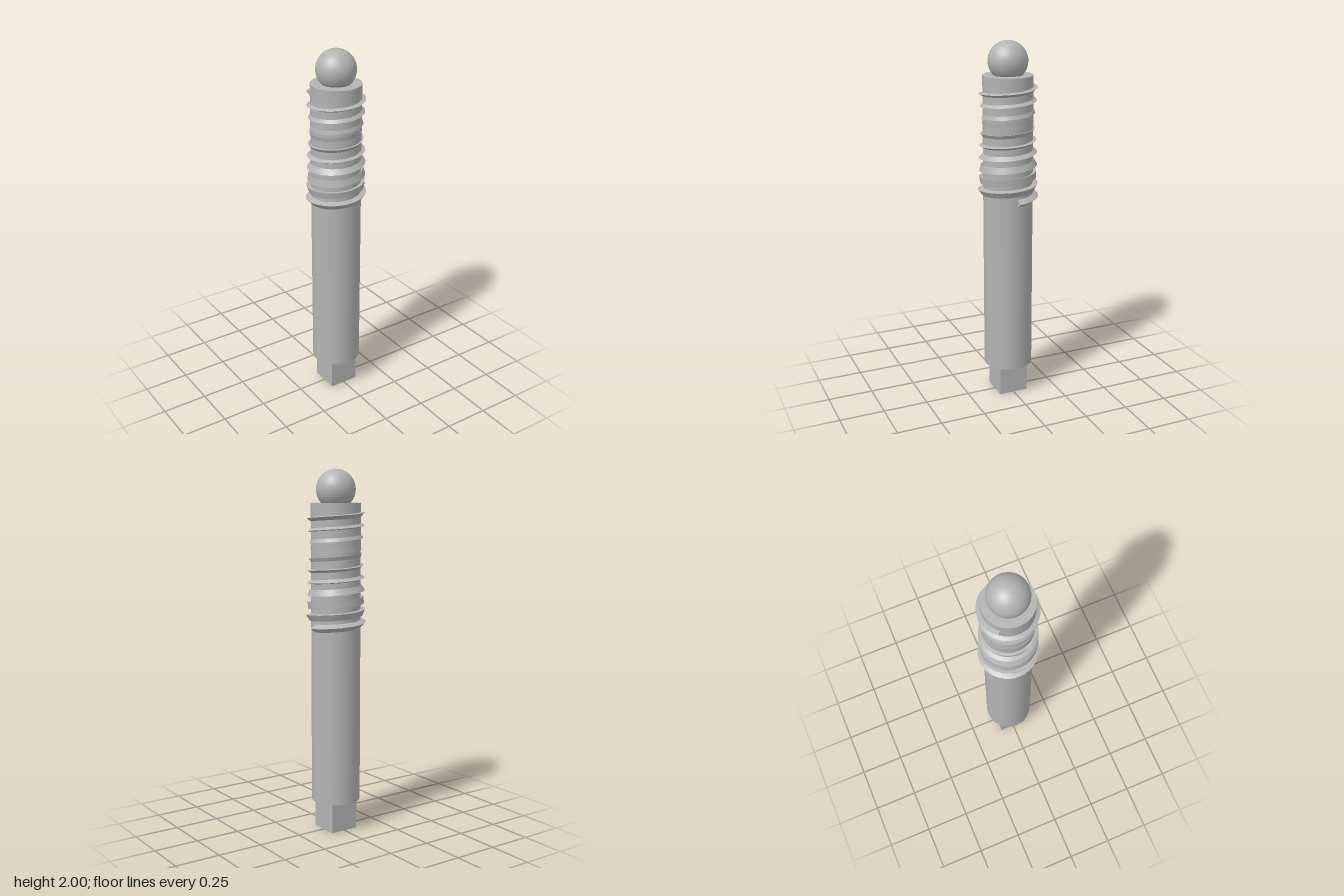
import * as THREE from 'three';

const steel = new THREE.MeshStandardMaterial({ color: 0xb3b3b3 });
steel.name = 'steel grey';

const SHAFT_R = 0.135;

function part(name, geometry, y = 0) {
  const mesh = new THREE.Mesh(geometry, steel);
  mesh.name = name;
  mesh.position.y = y;
  return mesh;
}

// Triangular ridge wound up the shaft, its section rolling slowly as it climbs
function threadGeometry() {
  const turns = 10.39, y0 = 1.15, rise = 0.623, steps = 624;
  const corners = [[0, 0.03], [Math.PI / 2, 0.022], [-Math.PI / 2, 0.022]];
  const roll = rise / SHAFT_R;

  const point = (i, j) => {
    const t = i / steps, a = t * turns * Math.PI * 2;
    const [angle, size] = corners[j % 3];
    const r = SHAFT_R + size * Math.cos(angle + roll * t);
    const y = y0 + rise * t + size * Math.sin(angle + roll * t);
    return [r * Math.cos(a), y, -r * Math.sin(a)];
  };

  const pos = [], index = [];
  // Each side is its own strip, so the edges stay sharp
  for (let j = 0; j < 3; j++) {
    const base = pos.length / 3;
    for (let i = 0; i <= steps; i++) {
      pos.push(...point(i, j), ...point(i, j + 1));
      if (i === steps) continue;
      const k = base + i * 2;
      index.push(k, k + 2, k + 1, k + 1, k + 2, k + 3);
    }
  }
  // End caps
  for (const [i, order] of [[0, [0, 1, 2]], [steps, [0, 2, 1]]]) {
    for (const j of order) {
      index.push(pos.length / 3);
      pos.push(...point(i, j));
    }
  }
  const g = new THREE.BufferGeometry();
  g.setAttribute('position', new THREE.Float32BufferAttribute(pos, 3));
  g.setIndex(index);
  g.computeVertexNormals();
  return g;
}

// Square drive with a round socket bored up from below
function driveGeometry() {
  const h = 0.083;
  const shape = new THREE.Shape();
  shape.moveTo(-h, -h).lineTo(h, -h).lineTo(h, h).lineTo(-h, h).closePath();
  const hole = new THREE.Path();
  hole.absarc(0, 0, 0.042, 0, Math.PI * 2, true);
  shape.holes.push(hole);
  const g = new THREE.ExtrudeGeometry(shape, { depth: 0.17, bevelEnabled: false, curveSegments: 24 });
  return g.rotateX(-Math.PI / 2);
}

export function createModel() {
  const model = new THREE.Group();
  model.name = 'threadedBallStud';
  model.add(
    part('squareDrive', driveGeometry()),
    part('shaft', new THREE.CylinderGeometry(SHAFT_R, SHAFT_R, 1.65, 64), 0.995),
    part('thread', threadGeometry()),
    part('ballHead', new THREE.SphereGeometry(0.107, 48, 32), 1.893),
  );
  return model;
}
